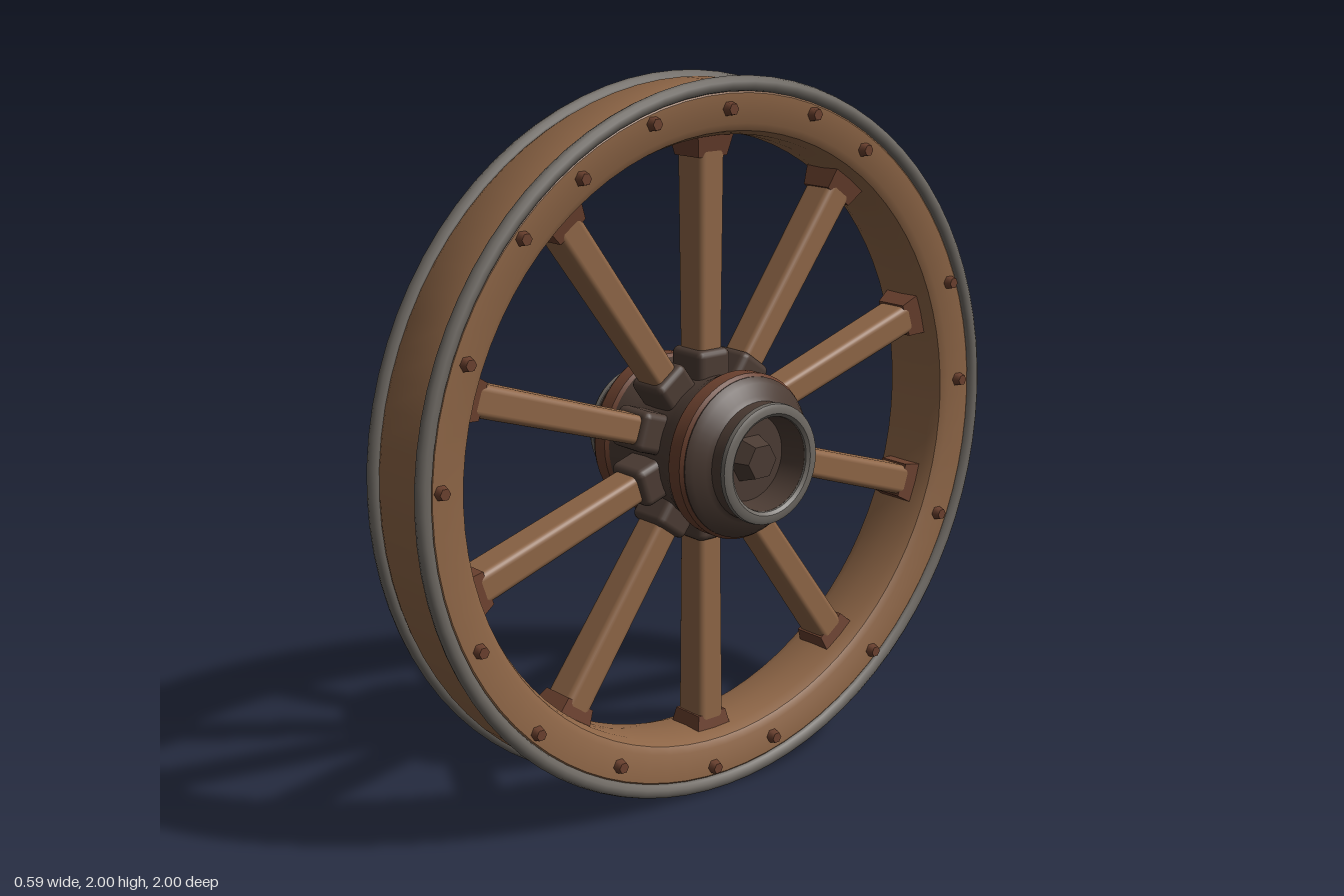
import * as THREE from 'three';
import { toCreasedNormals } from 'three/addons/utils/BufferGeometryUtils.js';
import { RoundedBoxGeometry } from 'three/addons/geometries/RoundedBoxGeometry.js';

const material = (name, color) => {
  const m = new THREE.MeshStandardMaterial({ color });
  m.name = name;
  return m;
};

export function createModel() {
  const wood = material('wood', 0x8d6546);
  const rust = material('rusty brown', 0x6a402e);
  const dark = material('dark iron', 0x4b3b33);
  const steel = material('worn steel', 0x6c6761);

  const wheel = new THREE.Group();
  wheel.name = 'wheel';

  const add = (name, geometry, mat, parent = wheel) => {
    const mesh = new THREE.Mesh(geometry, mat);
    mesh.name = name;
    parent.add(mesh);
    return mesh;
  };

  // Turned part around the x axle; points are [radius, x], outside going towards +x
  const turned = (points, segments = 64) => {
    const g = new THREE.LatheGeometry(points.map(([r, x]) => new THREE.Vector2(r, x)), segments);
    g.rotateZ(-Math.PI / 2);
    return toCreasedNormals(g, 0.6);
  };

  // Wooden rim
  const rim = [
    [0.955, -0.115], [0.975, -0.1], [0.985, -0.075], [0.985, 0.075], [0.975, 0.1], [0.955, 0.115],
    [0.875, 0.112], [0.855, 0.1], [0.843, 0.07], [0.84, 0],
    [0.843, -0.07], [0.855, -0.1], [0.875, -0.112], [0.955, -0.115],
  ];
  add('rim', turned(rim, 80), wood).position.y = 1;

  // Metal tyres on both edges of the rim
  for (const side of [-1, 1]) {
    const tyre = add('tyre', new THREE.TorusGeometry(0.979, 0.021, 10, 80), steel);
    tyre.rotation.y = Math.PI / 2;
    tyre.position.set(side * 0.109, 1, 0);
  }

  // Bolts on both faces of the rim, unevenly spaced
  const boltAngles = [3, 22, 57, 71, 90, 106, 122, 136, 157, 177, 205, 225, 245, 267, 281, 308, 337];
  for (const side of [-1, 1]) {
    boltAngles.forEach((deg, i) => {
      const a = THREE.MathUtils.degToRad(deg);
      const r = 0.915 + 0.015 * (i % 2);
      const bolt = add('bolt', new THREE.CylinderGeometry(0.016, 0.023, 0.03, 6), rust);
      bolt.rotation.z = -side * Math.PI / 2;
      bolt.position.set(side * 0.12, 1 + r * Math.sin(a), -r * Math.cos(a));
    });
  }

  // Spokes with a socket at the hub and a cuff at the rim
  const spokeGeometry = new RoundedBoxGeometry(0.1, 0.68, 0.084, 3, 0.018);
  const p = spokeGeometry.attributes.position;
  for (let i = 0; i < p.count; i++) {
    const k = 1 + 0.18 * p.getY(i);
    p.setX(i, p.getX(i) * k);
    p.setZ(i, p.getZ(i) * k);
  }
  const cuffGeometry = new THREE.CylinderGeometry(0.088, 0.07, 0.06, 4, 1);
  cuffGeometry.rotateY(Math.PI / 4);
  const cuff = toCreasedNormals(cuffGeometry, 0.5);
  const socket = new RoundedBoxGeometry(0.13, 0.12, 0.112, 2, 0.02);
  for (let i = 0; i < 10; i++) {
    const spoke = new THREE.Group();
    spoke.name = 'spoke';
    spoke.position.y = 0.992;
    spoke.rotation.x = (i / 10) * Math.PI * 2;
    wheel.add(spoke);
    add('spokeBar', spokeGeometry, wood, spoke).position.y = 0.52;
    add('rimCuff', cuff, rust, spoke).position.y = 0.822;
    add('hubSocket', socket, dark, spoke).position.y = 0.21;
  }

  // Hub
  const hub = new THREE.Group();
  hub.name = 'hub';
  hub.position.y = 0.987;
  wheel.add(hub);
  const half = [
    [0.2, 0], [0.205, 0.08], [0.222, 0.12], [0.222, 0.195], [0.208, 0.212],
    [0.175, 0.225], [0.163, 0.235], [0.163, 0.28], [0.13, 0.28], [0.12, 0.2], [0, 0.2],
  ];
  const mirrored = half.slice(1).reverse().map(([r, x]) => [r, -x]);
  add('hubBody', turned([...mirrored, ...half], 48), dark, hub);

  for (const side of [-1, 1]) {
    // Rusty band, steel end ring and axle nut
    const band = [[0.2, -0.032], [0.222, -0.032], [0.23, -0.022], [0.23, 0.022], [0.222, 0.032], [0.2, 0.032]];
    add('hubBand', turned(band, 48), rust, hub).position.x = side * 0.16;
    const ring = [[0.13, -0.012], [0.162, -0.012], [0.167, -0.004], [0.165, 0.008], [0.155, 0.013],
      [0.14, 0.013], [0.131, 0.006], [0.13, -0.012]];
    add('endRing', turned(ring, 40), steel, hub).position.x = side * 0.28;
    const nut = add('axleNut', toCreasedNormals(new THREE.CylinderGeometry(0.05, 0.07, 0.06, 6), 0.5), dark, hub);
    nut.rotation.z = -side * Math.PI / 2;
    nut.position.x = side * 0.225;
  }

  return wheel;
}
